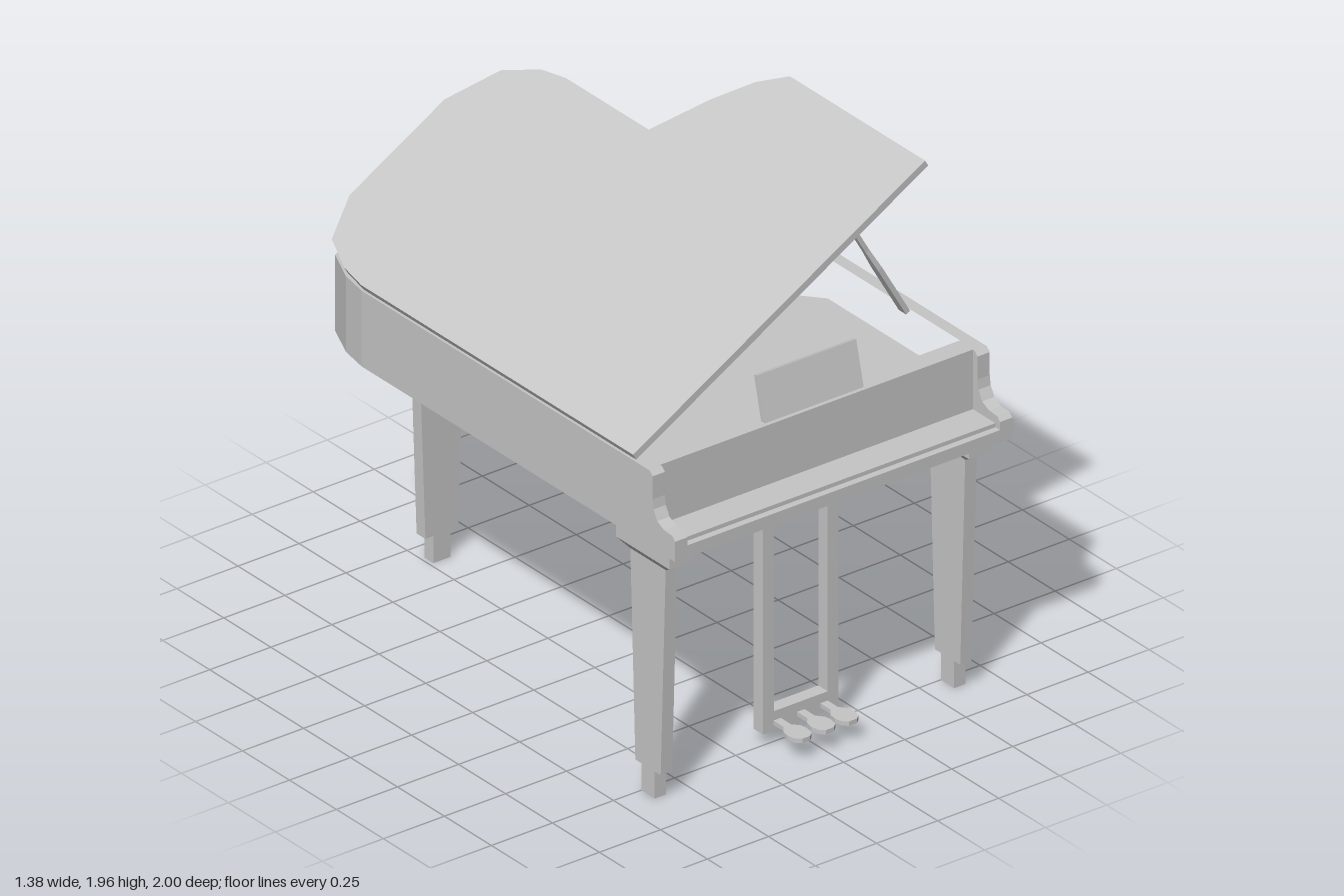
import * as THREE from 'three';

const RAD = Math.PI / 6; // lid opening angle

// Plan outline (x, z), from the front left corner round the tail to the front right
const outline = (front) => [
  [-0.69, front], [-0.69, -0.67], [-0.67, -0.78], [-0.61, -0.915], [-0.45, -1], [0, -1],
  [0.185, -0.91], [0.26, -0.78], [0.28, -0.67], [0.28, -0.23], [0.48, -0.125],
  [0.61, -0.035], [0.69, 0.06], [0.69, front],
];

// Moves every edge of a closed outline inwards, with mitred corners
function inset(pts, d) {
  const n = pts.length;
  return pts.map((p, i) => {
    const a = pts[(i + n - 1) % n], b = pts[(i + 1) % n];
    const normal = (u, v) => {
      const dx = v[0] - u[0], dz = v[1] - u[1], l = Math.hypot(dx, dz);
      return [-dz / l, dx / l];
    };
    const m = normal(a, p), k = normal(p, b);
    const s = d / (1 + m[0] * k[0] + m[1] * k[1]);
    return [p[0] + (m[0] + k[0]) * s, p[1] + (m[1] + k[1]) * s];
  });
}

// Upright prism over a plan outline, optionally with a hole
function prism(pts, y0, y1, hole) {
  const flat = (list) => list.map(([x, z]) => new THREE.Vector2(x, -z));
  const shape = new THREE.Shape(flat(pts));
  if (hole) shape.holes.push(new THREE.Path(flat(hole)));
  const g = new THREE.ExtrudeGeometry(shape, { depth: y1 - y0, bevelEnabled: false });
  return g.rotateX(-Math.PI / 2).translate(0, y0, 0);
}

// Prism over a side profile (z, y) between two x positions
function sideways(pts, x0, x1) {
  const shape = new THREE.Shape(pts.map(([z, y]) => new THREE.Vector2(z, y)));
  const g = new THREE.ExtrudeGeometry(shape, { depth: x1 - x0, bevelEnabled: false });
  return g.rotateY(-Math.PI / 2).translate(x1, 0, 0);
}

// Box given by its limits
function block(x0, x1, y0, y1, z0, z1) {
  return new THREE.BoxGeometry(x1 - x0, y1 - y0, z1 - z0)
    .translate((x0 + x1) / 2, (y0 + y1) / 2, (z0 + z1) / 2);
}

// Box tapering from a bottom size to a top size
function taper(w0, d0, w1, d1, y0, y1) {
  const g = new THREE.BoxGeometry(1, y1 - y0, 1).translate(0, (y0 + y1) / 2, 0);
  const p = g.attributes.position, mid = (y0 + y1) / 2;
  for (let i = 0; i < p.count; i++) {
    const top = p.getY(i) > mid;
    p.setX(i, p.getX(i) * (top ? w1 : w0));
    p.setZ(i, p.getZ(i) * (top ? d1 : d0));
  }
  g.computeVertexNormals();
  return g;
}

export function createModel() {
  const model = new THREE.Group();
  model.name = 'grandPiano';
  const grey = new THREE.MeshStandardMaterial({ color: 0xc6c6c6 });
  grey.name = 'light grey';
  const add = (name, geometry, parent = model) => {
    const mesh = new THREE.Mesh(geometry, grey);
    mesh.name = name;
    parent.add(mesh);
    return mesh;
  };

  // Case: bottom board, rim and sunken soundboard
  const inner = inset(outline(0.825), 0.045);
  add('bottomBoard', prism(outline(1), 0.97, 1.015));
  add('rim', prism(outline(0.855), 1.015, 1.25, inner));
  add('soundboard', prism(inner, 1.015, 1.1));

  // Keyboard ledge and scrolled cheeks
  add('keyLedge', block(-0.64, 0.64, 1.015, 1.03, 0.85, 0.975));
  const cheek = [
    [0.85, 1.015], [1, 1.015], [1, 1.045], [0.985, 1.06], [0.94, 1.063], [0.905, 1.08],
    [0.885, 1.115], [0.88, 1.15], [0.88, 1.235], [0.865, 1.25], [0.85, 1.25],
  ];
  add('leftCheek', sideways(cheek, 0.64, 0.69));
  add('rightCheek', sideways(cheek, -0.69, -0.64));

  // Music desk leaning back
  add('musicDesk', sideways([[0.82, 1.25], [0.84, 1.25], [0.8, 1.41], [0.783, 1.405]], -0.2, 0.205));

  // Raised lid hinged along the straight side
  const lid = new THREE.Group();
  lid.name = 'lid';
  lid.position.set(-0.68, 1.25, 0);
  lid.rotation.z = RAD;
  add('lidPanel', prism(outline(0.78), 0, 0.026).translate(0.69, 0, 0), lid);
  model.add(lid);

  // Lid prop: wide foot, shoulder and slim rod
  const prop = new THREE.Group();
  prop.name = 'lidProp';
  prop.position.set(0.637, 1.24, 0.495);
  prop.rotation.z = RAD;
  add('propFoot', taper(0.018, 0.04, 0.018, 0.04, 0, 0.23), prop);
  add('propShoulder', taper(0.018, 0.04, 0.016, 0.022, 0.23, 0.32), prop);
  add('propRod', taper(0.016, 0.022, 0.016, 0.022, 0.32, 0.675), prop);
  model.add(prop);

  // Legs: cap, bevel, tapered shaft and foot
  const addLeg = (name, x, z, turn) => {
    const leg = new THREE.Group();
    leg.name = name;
    add('legCap', taper(0.09, 0.285, 0.09, 0.285, 0.9, 0.97), leg);
    add('legBevel', taper(0.05, 0.195, 0.09, 0.285, 0.872, 0.9), leg);
    add('legShaft', taper(0.047, 0.135, 0.047, 0.188, 0.1, 0.872), leg);
    add('legFoot', taper(0.047, 0.07, 0.047, 0.07, 0, 0.1), leg);
    leg.position.set(x, 0, z);
    leg.rotation.y = turn;
    model.add(leg);
  };
  addLeg('frontLeftLeg', 0.613, 0.786, 0);
  addLeg('frontRightLeg', -0.613, 0.786, 0);
  addLeg('rearLeg', -0.2, -0.903, Math.PI / 2);

  // Pedal frame hanging below the case
  add('pedalPostRight', block(-0.15, -0.105, 0.05, 0.97, 0.715, 0.765));
  add('pedalPostLeft', block(0.115, 0.16, 0.05, 0.97, 0.715, 0.765));
  add('pedalBar', block(-0.105, 0.115, 0.05, 0.122, 0.715, 0.765));

  // Three pedals: narrow stem widening into a rounded paddle
  const half = [[0.015, 0.75], [0.015, 0.82], [0.036, 0.845], [0.041, 0.875], [0.034, 0.905], [0.016, 0.92]];
  const paddle = [...half, ...half.map(([x, z]) => [-x, z]).reverse()];
  for (const x of [-0.092, 0.005, 0.1]) {
    add('pedal', prism(paddle, 0.072, 0.088).translate(x, 0, 0));
  }
  return model;
}
